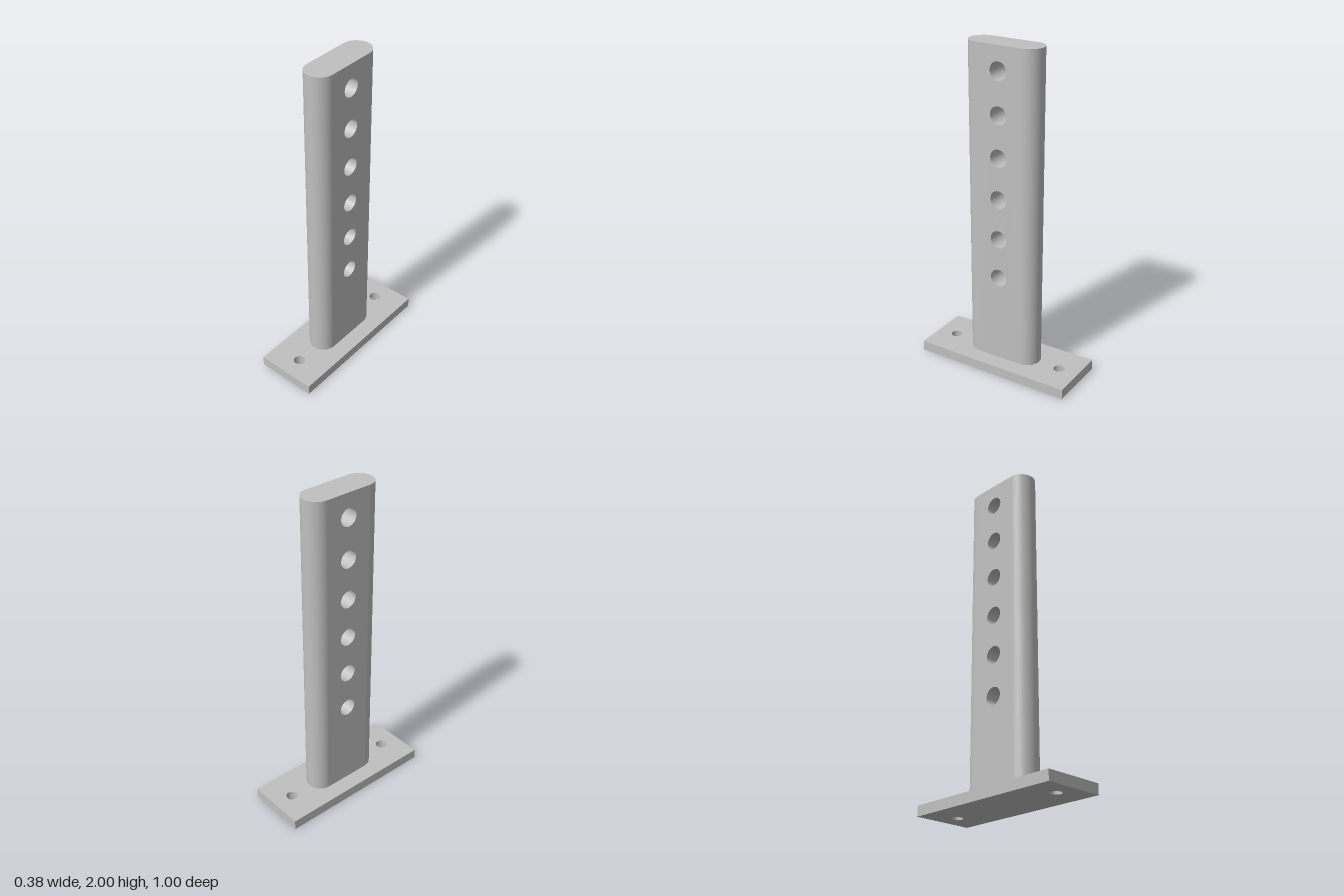
import * as THREE from 'three';
import { toCreasedNormals } from 'three/addons/utils/BufferGeometryUtils.js';

const PLATE = { halfX: 0.1875, halfZ: 0.5, height: 0.0625, holeZ: 0.375, holeR: 0.034 };
const POST = { halfX: 0.0865, flatZ: 0.1475, top: 2, holeR: 0.0535, firstHole: 0.608, pitch: 0.25, holes: 6 };

function rectShape(x0, y0, x1, y1) {
  return new THREE.Shape([[x0, y0], [x1, y0], [x1, y1], [x0, y1]].map(([x, y]) => new THREE.Vector2(x, y)));
}

function addHole(shape, x, y, r) {
  shape.holes.push(new THREE.Path().absarc(x, y, r, 0, Math.PI * 2, true));
}

export function createModel() {
  const steel = new THREE.MeshStandardMaterial({ color: 0xc0c0c0 });
  steel.name = 'steel grey';
  const model = new THREE.Group();
  model.name = 'perforatedPost';

  const add = (parent, name, geometry) => {
    const mesh = new THREE.Mesh(geometry, steel);
    mesh.name = name;
    parent.add(mesh);
    return mesh;
  };

  // Base plate with two bolt holes
  const plate = rectShape(-PLATE.halfX, -PLATE.halfZ, PLATE.halfX, PLATE.halfZ);
  for (const s of [-1, 1]) addHole(plate, 0, s * PLATE.holeZ, PLATE.holeR);
  const plateGeometry = new THREE.ExtrudeGeometry(plate, { depth: PLATE.height, bevelEnabled: false, curveSegments: 32 });
  plateGeometry.rotateX(-Math.PI / 2);
  add(model, 'basePlate', toCreasedNormals(plateGeometry, 0.6));

  // Upright post with rounded front and back
  const post = new THREE.Group();
  post.name = 'post';
  model.add(post);
  const height = POST.top - PLATE.height;
  const midY = (POST.top + PLATE.height) / 2;
  const holeHeights = Array.from({ length: POST.holes }, (_, i) => POST.firstHole + i * POST.pitch);

  // Flat sides pierced by the row of holes, and the rounded edges
  const side = rectShape(-POST.flatZ, PLATE.height, POST.flatZ, POST.top);
  holeHeights.forEach((y) => addHole(side, 0, y, POST.holeR));
  for (const s of [-1, 1]) {
    const flat = new THREE.ShapeGeometry(side, 32);
    flat.rotateY(s * Math.PI / 2).translate(s * POST.halfX, 0, 0);
    add(post, s > 0 ? 'leftSide' : 'rightSide', flat);

    const round = new THREE.CylinderGeometry(POST.halfX, POST.halfX, height, 32, 1, true,
      s > 0 ? -Math.PI / 2 : Math.PI / 2, Math.PI);
    round.translate(0, midY, s * POST.flatZ);
    add(post, s > 0 ? 'frontRoundEdge' : 'backRoundEdge', round);
  }

  // Top face
  const cap = new THREE.Shape();
  cap.absarc(0, POST.flatZ, POST.halfX, 0, Math.PI, false);
  cap.absarc(0, -POST.flatZ, POST.halfX, Math.PI, Math.PI * 2, false);
  const capGeometry = new THREE.ShapeGeometry(cap, 32);
  capGeometry.rotateX(-Math.PI / 2).translate(0, POST.top, 0);
  add(post, 'topFace', capGeometry);

  // Hole linings, turned to face inwards
  const lining = new THREE.CylinderGeometry(POST.holeR, POST.holeR, POST.halfX * 2, 64, 1, true);
  lining.rotateZ(Math.PI / 2);
  lining.index.array.reverse();
  const normals = lining.attributes.normal;
  for (let i = 0; i < normals.count; i++) {
    normals.setXYZ(i, -normals.getX(i), -normals.getY(i), -normals.getZ(i));
  }
  holeHeights.forEach((y, i) => {
    add(post, `holeLining${i + 1}`, lining).position.y = y;
  });

  return model;
}
